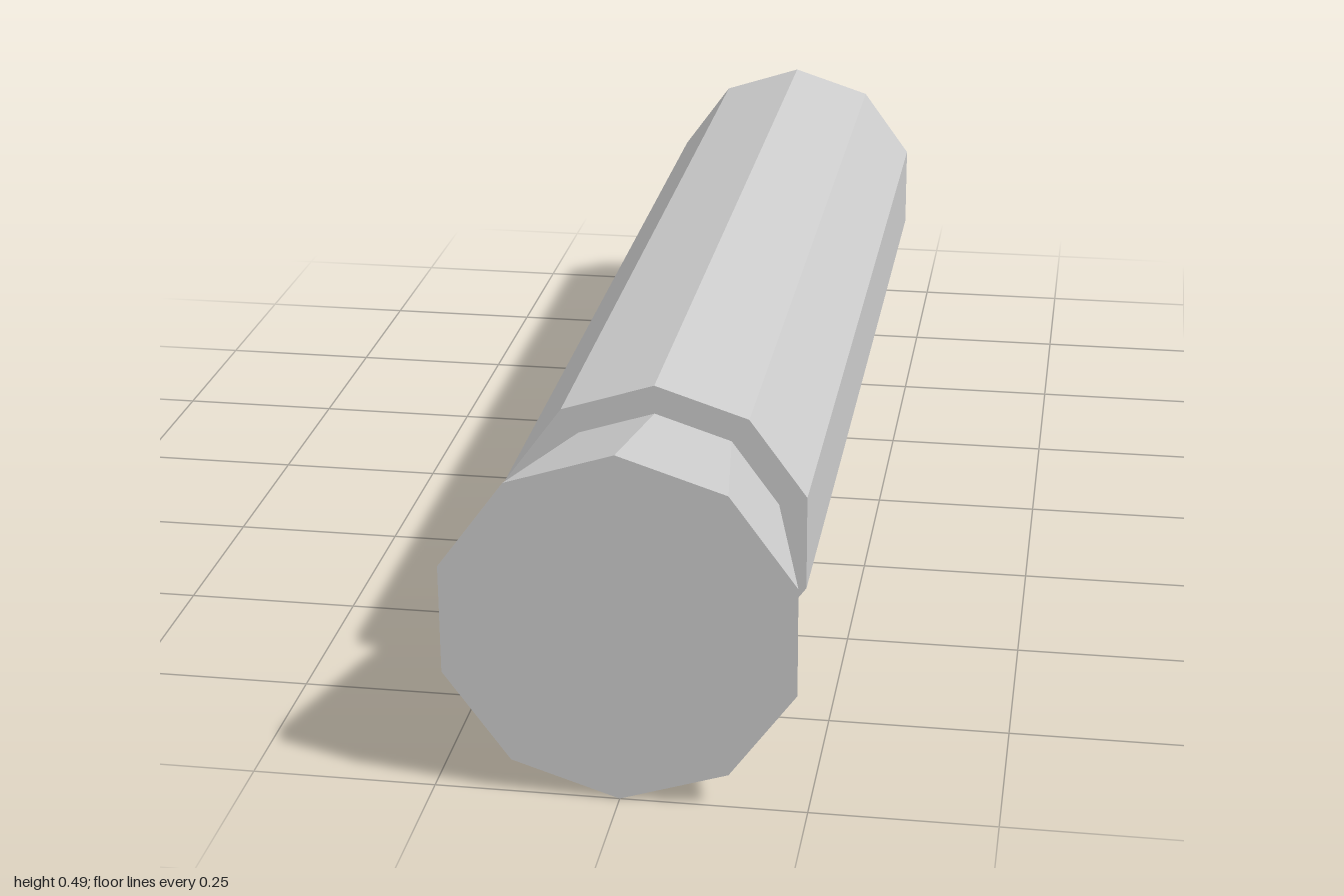
import * as THREE from 'three';

const SIDES = 10;
const AXIS_Y = 0.247;

export function createModel() {
  const group = new THREE.Group();
  const material = new THREE.MeshStandardMaterial({ color: 0xcccccc, flatShading: true });

  // Ten-sided turned part along z; profile pairs are [radius, z], back to front
  function addTurned(name, profile) {
    const points = profile.map(([r, z]) => new THREE.Vector2(r, z));
    const geometry = new THREE.LatheGeometry(points, SIDES).rotateX(Math.PI / 2);
    const mesh = new THREE.Mesh(geometry, material);
    mesh.name = name;
    mesh.position.y = AXIS_Y;
    group.add(mesh);
  }

  // Shallow pointed end cap with a bevelled rim
  addTurned('endCap', [[0, -1], [0.175, -0.965], [0.222, -0.905]]);

  // Long grip with the step at its front end
  addTurned('handle', [[0.222, -0.905], [0.222, 0.702], [0.181, 0.702]]);

  // Flared head with a flat front face
  addTurned('flaredHead', [[0.181, 0.702], [0.247, 1], [0, 1]]);

  return group;
}
